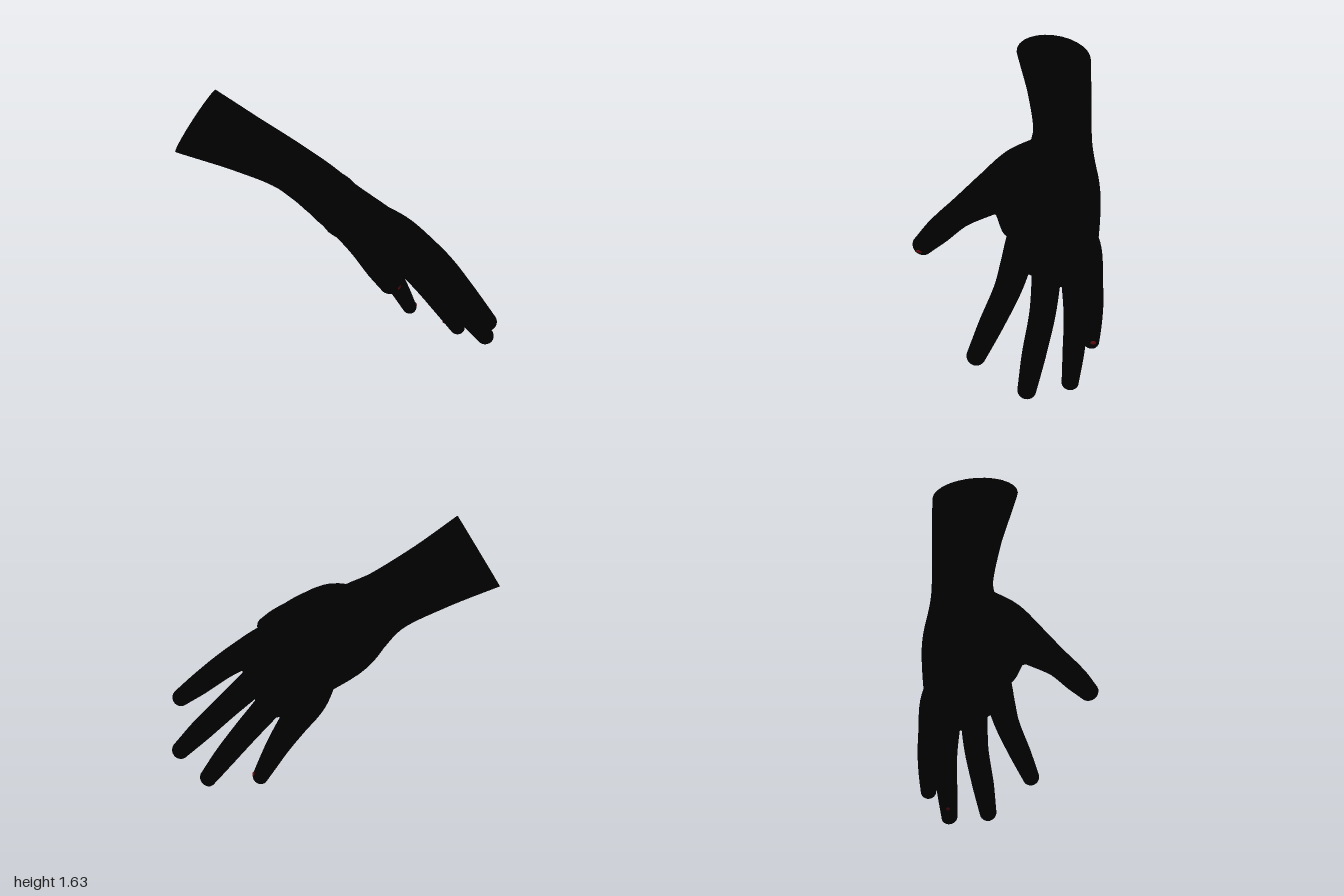
import * as THREE from 'three';

const SIDES = 28;
const V = (p) => new THREE.Vector3(p[0], p[1], p[2]);

// Smooth limb through points [x, y, z, halfWidth, halfThickness]:
// flat sharp-edged cap at the start, rounded dome at the end.
function limb(points, side, { steps = 8, startNormal = null } = {}) {
  const path = new THREE.CatmullRomCurve3(points.map(V));
  const size = new THREE.CatmullRomCurve3(points.map((p) => new THREE.Vector3(p[3], p[4], 0)));
  const ref = V(side).normalize();
  const n = (points.length - 1) * steps;
  const pos = [], index = [];

  const addRing = (c, t, w, h) => {
    const b = t.clone().cross(ref).normalize();
    const a = b.clone().cross(t);
    for (let j = 0; j < SIDES; j++) {
      const ang = (j / SIDES) * Math.PI * 2;
      const p = c.clone().addScaledVector(a, Math.cos(ang) * w).addScaledVector(b, Math.sin(ang) * h);
      pos.push(p.x, p.y, p.z);
    }
  };

  let c, t, r, rings = 0;
  for (let i = 0; i <= n; i++) {
    const s = i / n;
    c = path.getPoint(s);
    t = path.getTangent(s);
    r = size.getPoint(s);
    if (startNormal) t.lerp(V(startNormal).normalize(), Math.max(0, 1 - s * 4)).normalize();
    addRing(c, t, r.x, r.y);
    rings++;
  }
  const reach = Math.min(r.x, r.y);
  for (let k = 1; k < 7; k++) {
    const ang = (k / 7) * Math.PI / 2;
    addRing(c.clone().addScaledVector(t, reach * Math.sin(ang)), t, r.x * Math.cos(ang), r.y * Math.cos(ang));
    rings++;
  }
  for (let i = 0; i < rings - 1; i++) {
    for (let j = 0; j < SIDES; j++) {
      const a = i * SIDES + j, b = i * SIDES + (j + 1) % SIDES;
      index.push(a, b, a + SIDES, b, b + SIDES, a + SIDES);
    }
  }
  // dome tip
  const tip = c.clone().addScaledVector(t, reach);
  const last = (rings - 1) * SIDES, tipId = pos.length / 3;
  pos.push(tip.x, tip.y, tip.z);
  for (let j = 0; j < SIDES; j++) index.push(last + j, last + (j + 1) % SIDES, tipId);
  // flat start cap with its own vertices
  const cap = pos.length / 3;
  pos.push(...pos.slice(0, SIDES * 3), ...points[0].slice(0, 3));
  for (let j = 0; j < SIDES; j++) index.push(cap + SIDES, cap + (j + 1) % SIDES, cap + j);

  const geo = new THREE.BufferGeometry();
  geo.setAttribute('position', new THREE.Float32BufferAttribute(pos, 3));
  geo.setIndex(index);
  geo.computeVertexNormals();
  return geo;
}

export function createModel() {
  const group = new THREE.Group();
  const black = new THREE.MeshStandardMaterial({ color: 0x000000 });
  black.name = 'black';
  const red = new THREE.MeshStandardMaterial({ color: 0x600a0c });
  red.name = 'dark red';

  const add = (name, geo, mat = black) => {
    const mesh = new THREE.Mesh(geo, mat);
    mesh.name = name;
    group.add(mesh);
    return mesh;
  };

  // directions across the hand (little to index finger) and along it
  const across = [-0.38, 0.44, 0.8];
  const along = [0.42, -0.57, 0.72];

  // forearm, wrist and palm in one run, ending at the finger webs
  add('forearmAndPalm', limb([
    [-0.378, 1.432, -0.852, 0.257, 0.225],
    [-0.2, 1.29, -0.63, 0.22, 0.18],
    [-0.05, 1.153, -0.417, 0.207, 0.15],
    [0.03, 1.046, -0.28, 0.255, 0.142],
    [0.11, 0.925, -0.16, 0.288, 0.137],
    [0.25, 0.738, 0.12, 0.295, 0.11],
    [0.32, 0.61, 0.252, 0.245, 0.078],
  ], across, { startNormal: [0.39, -0.53, 0.75] }));

  // four fingers: inside the palm, knuckle, web, middle joint, end joint, tip
  const fingers = {
    indexFinger: [
      [0.08, 0.93, 0.17, 0.08, 0.08], [0.13, 0.835, 0.34, 0.1, 0.097], [0.165, 0.745, 0.48, 0.09, 0.09],
      [0.19, 0.655, 0.61, 0.08, 0.08], [0.19, 0.515, 0.79, 0.072, 0.07], [0.19, 0.395, 0.945, 0.057, 0.054]],
    middleFinger: [
      [0.18, 0.86, 0.1, 0.08, 0.08], [0.24, 0.73, 0.23, 0.095, 0.095], [0.295, 0.6, 0.35, 0.085, 0.088],
      [0.35, 0.465, 0.48, 0.078, 0.078], [0.395, 0.29, 0.65, 0.072, 0.07], [0.433, 0.14, 0.79, 0.057, 0.053]],
    ringFinger: [
      [0.24, 0.79, -0.03, 0.08, 0.08], [0.32, 0.65, 0.08, 0.092, 0.092], [0.395, 0.51, 0.175, 0.082, 0.084],
      [0.465, 0.365, 0.28, 0.076, 0.074], [0.52, 0.2, 0.4, 0.069, 0.062], [0.56, 0.05, 0.505, 0.056, 0.045]],
    littleFinger: [
      [0.22, 0.765, -0.16, 0.07, 0.07], [0.322, 0.58, -0.085, 0.105, 0.088], [0.393, 0.44, -0.005, 0.09, 0.08],
      [0.452, 0.315, 0.06, 0.074, 0.068], [0.488, 0.2, 0.115, 0.061, 0.056], [0.51, 0.11, 0.158, 0.05, 0.045]],
  };
  for (const [name, points] of Object.entries(fingers)) add(name, limb(points, across, { steps: 6 }));

  // skin between neighbouring fingers
  const chains = Object.values(fingers);
  for (let i = 0; i < 3; i++) {
    const from = V(chains[i][1]).lerp(V(chains[i][2]), 0.62);
    const to = V(chains[i + 1][1]).lerp(V(chains[i + 1][2]), 0.62);
    const mid = from.clone().lerp(to, 0.5).addScaledVector(V(along), -0.012);
    add('fingerWeb', limb([
      [...from.toArray(), 0.09, 0.075], [...mid.toArray(), 0.088, 0.073], [...to.toArray(), 0.09, 0.06],
    ], along, { steps: 5 }));
  }

  // thumb with its broad base
  const thumbSide = [0.88, -0.2, 0.35];
  add('thumb', limb([
    [-0.02, 1.11, -0.27, 0.13, 0.1],
    [-0.095, 1.042, -0.01, 0.178, 0.15],
    [-0.2, 0.972, 0.22, 0.13, 0.116],
    [-0.295, 0.9, 0.4, 0.085, 0.088],
    [-0.347, 0.838, 0.53, 0.082, 0.076],
    [-0.388, 0.782, 0.637, 0.065, 0.058],
  ], thumbSide, { steps: 6 }));

  // skin and palm pad between thumb and index finger
  add('thumbWeb', limb([
    [-0.2, 0.96, 0.16, 0.15, 0.1],
    [-0.05, 0.94, 0.13, 0.175, 0.108],
    [0.09, 0.87, 0.23, 0.17, 0.105],
  ], [-0.2, 0, 1], { steps: 6 }));

  // small red marks near the fingertips
  const mark = (name, center, dir, r) => {
    const d = V(dir).normalize();
    const mesh = add(name, new THREE.SphereGeometry(1, 12, 8), red);
    mesh.scale.set(0.019, 0.012, 0.0045);
    mesh.position.copy(V(center).addScaledVector(d, r));
    mesh.quaternion.setFromUnitVectors(new THREE.Vector3(0, 0, 1), d);
  };
  mark('thumbMark', [-0.388, 0.782, 0.637], [0.2, -0.2, 0.95], 0.058);
  mark('littleFingerMark', [0.51, 0.11, 0.158], [0.62, 0.45, 0.66], 0.047);
  mark('ringFingerMark', [0.54, 0.12, 0.455], [-0.2, -0.8, -0.53], 0.055);

  return group;
}
